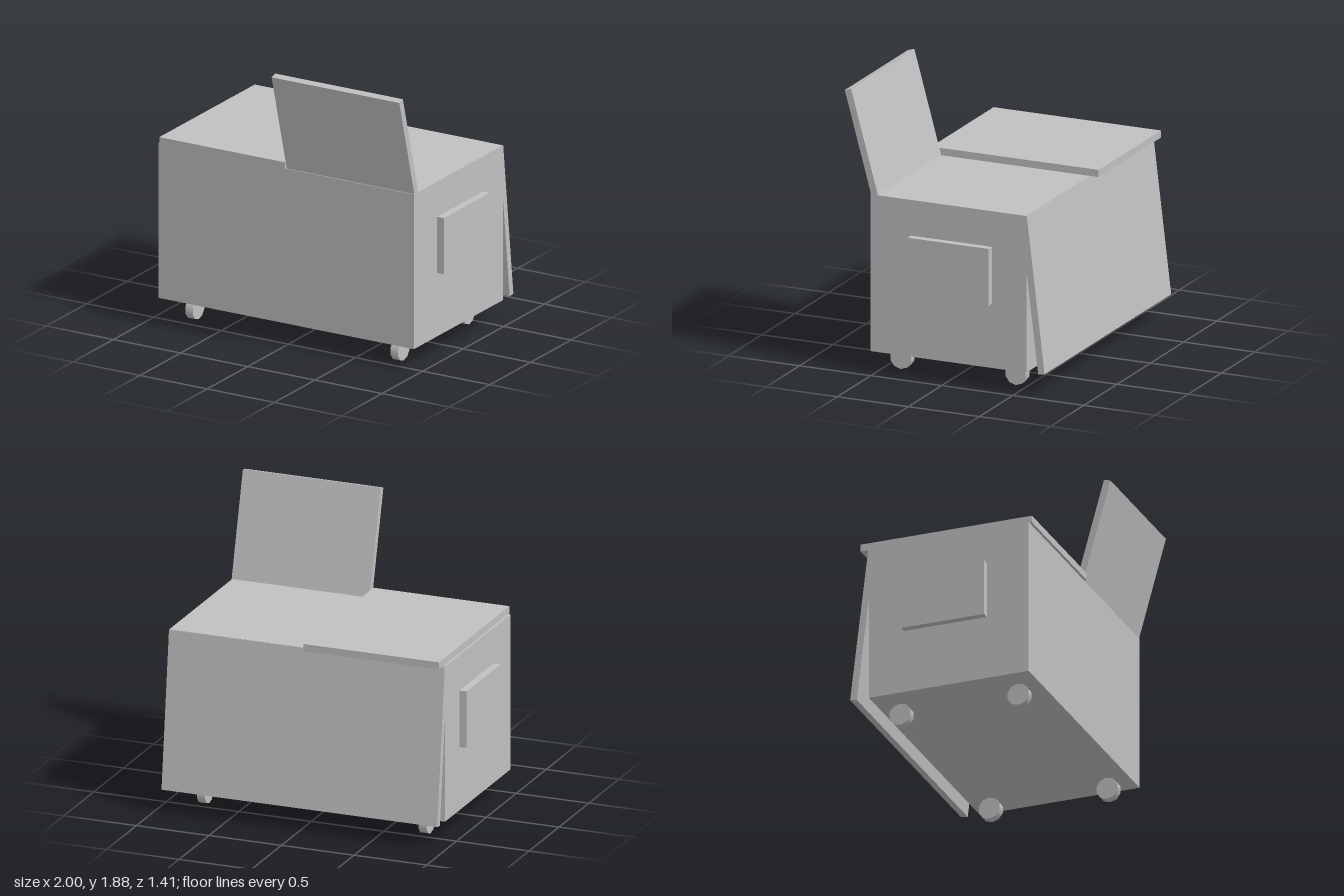
import * as THREE from 'three';

export function createModel() {
  const model = new THREE.Group();
  model.name = 'wheeledBin';
  const grey = new THREE.MeshStandardMaterial({ color: 0xc0c0c0 });
  grey.name = 'plain grey';

  const add = (name, geometry) => {
    const mesh = new THREE.Mesh(geometry, grey);
    mesh.name = name;
    model.add(mesh);
    return mesh;
  };

  // Axis-aligned box given by its limits
  const block = (name, x0, x1, y0, y1, z0, z1) =>
    add(name, new THREE.BoxGeometry(x1 - x0, y1 - y0, z1 - z0))
      .position.set((x0 + x1) / 2, (y0 + y1) / 2, (z0 + z1) / 2);

  // Tilted board whose centre line runs from a lower to an upper [z, y] point
  const board = (name, x0, x1, [z0, y0], [z1, y1], thickness) => {
    const length = Math.hypot(z1 - z0, y1 - y0);
    const mesh = add(name, new THREE.BoxGeometry(x1 - x0, length, thickness));
    mesh.position.set((x0 + x1) / 2, (y0 + y1) / 2, (z0 + z1) / 2);
    mesh.rotation.x = Math.atan2(z1 - z0, y1 - y0);
  };

  block('body', -0.95, 0.95, 0.147, 1.193, -0.572, 0.525);
  block('closedLid', -0.935, 0, 1.193, 1.241, -0.635, 0.542);

  // Raised lid leaning forward, and sloping back panel
  board('openLid', 0, 0.95, [0.495, 1.19], [0.683, 1.871], 0.046);
  board('backPanel', -0.95, 0.95, [-0.678, 0.15], [-0.553, 1.188], 0.046);

  for (const side of [-1, 1]) {
    // Side lifting pockets
    const [x0, x1] = side < 0 ? [-1, -0.95] : [0.95, 1];
    block(side < 0 ? 'rightPocket' : 'leftPocket', x0, x1, 0.575, 0.955, -0.33, 0.238);

    // Casters
    for (const z of [0.387, -0.422]) {
      const wheel = new THREE.CylinderGeometry(0.075, 0.075, 0.055, 10);
      wheel.rotateY(Math.PI / 10).rotateZ(Math.PI / 2);
      wheel.rotateX(0);
      add(z > 0 ? 'frontWheel' : 'backWheel', wheel).position.set(side * 0.763, 0.075, z);
    }
  }
  return model;
}
